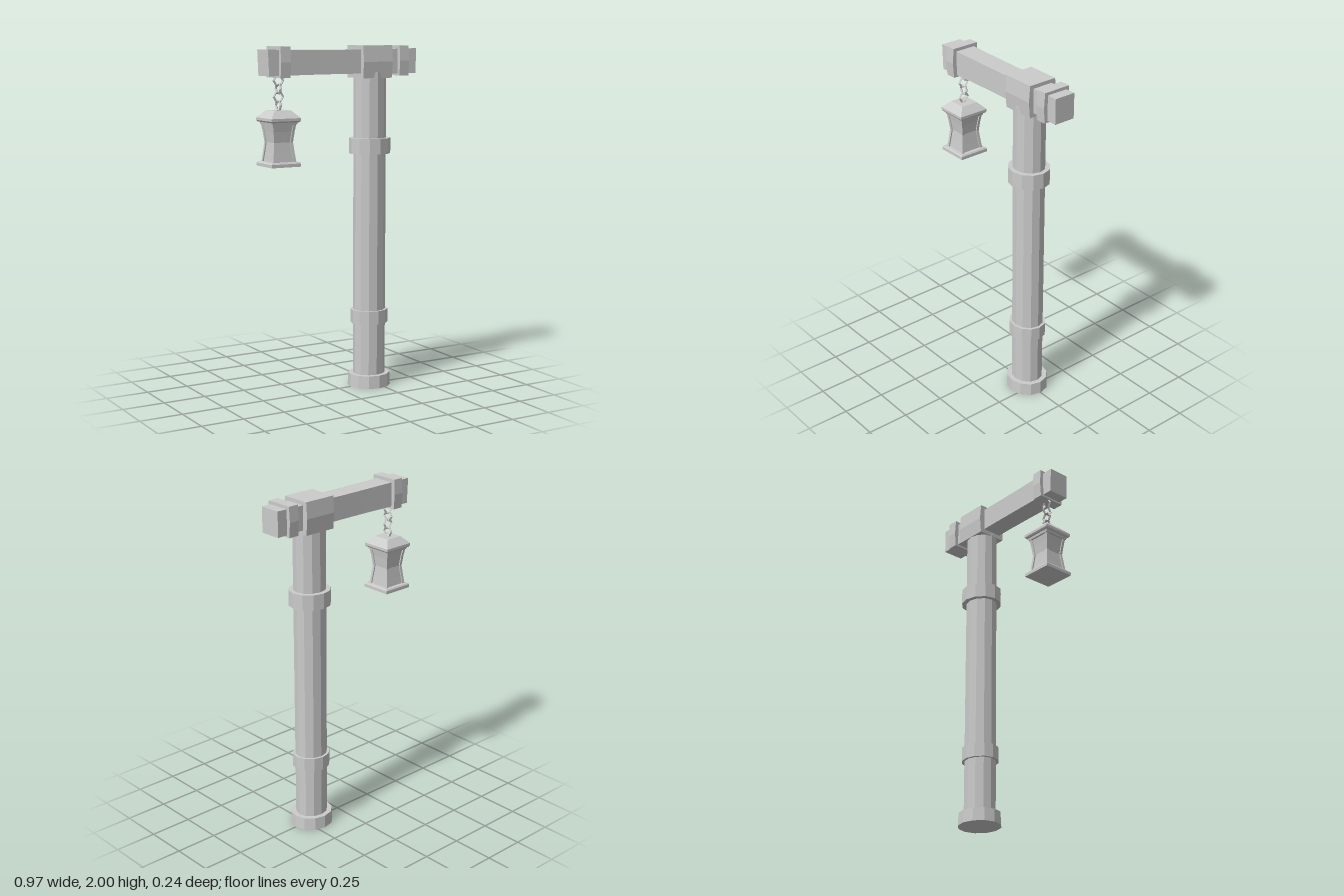
import * as THREE from 'three';

const material = new THREE.MeshStandardMaterial({ color: 0xcccccc, flatShading: true });

function add(parent, name, geometry, x = 0, y = 0, z = 0) {
  const mesh = new THREE.Mesh(geometry, material);
  mesh.name = name;
  mesh.position.set(x, y, z);
  parent.add(mesh);
  return mesh;
}

// Move every vertex of a geometry by a rule
function deform(geometry, rule) {
  const p = geometry.attributes.position;
  const v = new THREE.Vector3();
  for (let i = 0; i < p.count; i++) {
    v.fromBufferAttribute(p, i);
    rule(v);
    p.setXYZ(i, v.x, v.y, v.z);
  }
  geometry.computeVertexNormals();
  return geometry;
}

// Four-sided closed solid from a profile of [half width, y]
function squareLoft(profile) {
  const points = profile.map(([h, y]) => new THREE.Vector2(h * Math.SQRT2, y));
  points.unshift(new THREE.Vector2(0, profile[0][1]));
  points.push(new THREE.Vector2(0, profile[profile.length - 1][1]));
  return new THREE.LatheGeometry(points, 4, Math.PI / 4);
}

// Box whose front and back swell slightly at mid height
function swollenBox(w, h, d, swell) {
  return deform(new THREE.BoxGeometry(w, h, d, 1, 2, 1), v => {
    if (Math.abs(v.y) < 0.001) v.z += Math.sign(v.z) * swell;
  });
}

function createPost() {
  const post = new THREE.Group();
  post.name = 'post';
  post.position.x = 0.206;
  // name, bottom, top, lower radius, upper radius, depth scale
  const pieces = [
    ['postShaft', 0.02, 1.85, 0.096, 0.096, 0.92],
    ['postFoot', 0, 0.075, 0.128, 0.124, 0.94],
    ['lowerRing', 0.38, 0.46, 0.111, 0.111, 0.93],
    ['upperRing', 1.38, 1.47, 0.122, 0.122, 0.95],
  ];
  for (const [name, y0, y1, r0, r1, depth] of pieces) {
    add(post, name, new THREE.CylinderGeometry(r1, r0, y1 - y0, 12), 0, (y0 + y1) / 2).scale.z = depth;
  }
  return post;
}

function createBeam() {
  const beam = new THREE.Group();
  beam.name = 'crossbeam';
  // Beam thins slightly between its ends
  const bar = deform(new THREE.BoxGeometry(0.965, 0.145, 0.128, 6, 1, 1), v => {
    const t = v.x / 0.4825;
    const thin = 0.93 + 0.07 * t * t;
    if (t < -0.99) v.x += v.y > 0 ? -0.002 : 0.004;
    v.y *= thin;
    v.z *= thin;
  });
  add(beam, 'beamBar', bar, 0, 1.909, -0.003);
  add(beam, 'postCap', swollenBox(0.194, 0.185, 0.172, 0.008), 0.208, 1.9075, -0.004);
  for (const x of [-0.386, 0.389]) {
    add(beam, 'beamBand', swollenBox(0.062, 0.172, 0.164, 0.006), x, 1.912, -0.003);
  }
  return beam;
}

function createChain() {
  const chain = new THREE.Group();
  chain.name = 'chain';
  [1.81, 1.766, 1.721, 1.673].forEach((y, i) => {
    const link = add(chain, 'chainLink', new THREE.TorusGeometry(0.029, 0.007, 4, 6), 0, y);
    if (i % 2) link.rotation.y = Math.PI / 2;
  });
  return chain;
}

function createLantern() {
  const lantern = new THREE.Group();
  lantern.name = 'lantern';
  const waist = [[0.073, 1.355], [0.066, 1.41], [0.059, 1.47], [0.066, 1.53], [0.076, 1.59]];
  add(lantern, 'lanternRoof', squareLoft([[0.086, 1.582], [0.092, 1.59], [0.092, 1.605], [0.052, 1.646]]));
  add(lantern, 'lanternCollar', squareLoft([[0.076, 1.568], [0.079, 1.585]]));
  add(lantern, 'lanternBase', squareLoft([[0.092, 1.335], [0.092, 1.353], [0.086, 1.361]]));
  add(lantern, 'lanternPanes', squareLoft(waist.map(([h, y]) => [h - 0.007, y])));

  // Corner bars follow the waisted outline
  const width = 0.016;
  for (const sx of [-1, 1]) {
    for (const sz of [-1, 1]) {
      const bar = deform(new THREE.BoxGeometry(width, 4, width, 1, 4, 1), v => {
        const [half, y] = waist[Math.round(v.y + 2)];
        v.set(v.x + sx * (half - width / 2), y, v.z + sz * (half - width / 2));
      });
      add(lantern, 'lanternCornerBar', bar);
    }
  }
  return lantern;
}

export function createModel() {
  const model = new THREE.Group();
  model.name = 'lanternPost';
  const hanging = new THREE.Group();
  hanging.name = 'hangingLantern';
  hanging.position.set(-0.385, 0, -0.01);
  hanging.add(createChain(), createLantern());
  model.add(createPost(), createBeam(), hanging);
  return model;
}
